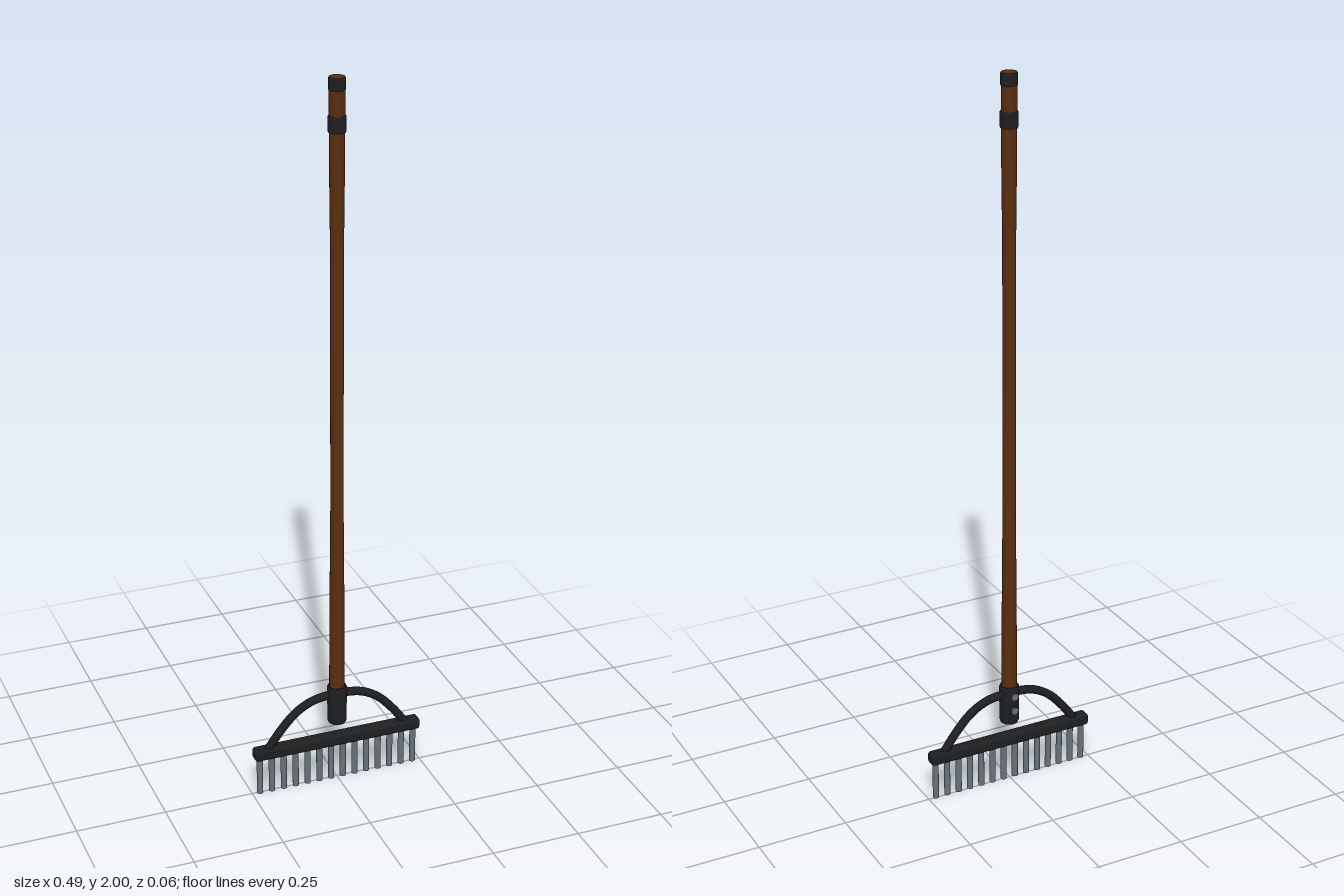
import * as THREE from 'three';
import { RoundedBoxGeometry } from 'three/addons/geometries/RoundedBoxGeometry.js';

export function createModel() {
  const group = new THREE.Group();
  const material = (name, color) => {
    const m = new THREE.MeshStandardMaterial({ color });
    m.name = name;
    return m;
  };
  const wood = material('brown wood', 0x5a2d0f);
  const iron = material('black iron', 0x1e1f21);
  const steel = material('grey steel', 0x66737c);

  const Z = 0.002; // shared depth of the shaft and head
  const add = (name, geometry, mat, x = 0, y = 0, z = Z) => {
    const mesh = new THREE.Mesh(geometry, mat);
    mesh.name = name;
    mesh.position.set(x, y, z);
    group.add(mesh);
    return mesh;
  };
  // Solid of revolution with crisp edges between straight segments
  const turned = (name, profile, mat) => {
    const part = new THREE.Group();
    part.name = name;
    part.position.z = Z;
    for (let i = 0; i < profile.length - 1; i++) {
      const pair = [profile[i], profile[i + 1]].map(([r, y]) => new THREE.Vector2(r, y));
      part.add(new THREE.Mesh(new THREE.LatheGeometry(pair, 32), mat));
    }
    group.add(part);
  };

  // Shaft, slightly slimmer along the middle
  turned('shaft', [[0, 0.2], [0.0215, 0.2], [0.0205, 0.5], [0.0175, 0.85],
    [0.0175, 1.55], [0.02, 1.8], [0.0205, 2], [0, 2]], wood);

  // Bands at the grip end
  const band = (name, y0, y1, r) => turned(name, [[0.018, y0], [r - 0.0015, y0],
    [r, y0 + 0.003], [r, y1 - 0.003], [r - 0.0015, y1], [0.018, y1]], iron);
  band('endBand', 1.966, 1.999, 0.0222);
  band('gripBand', 1.86, 1.903, 0.0232);

  // Socket holding the shaft
  turned('socket', [[0, 0.18], [0.024, 0.18], [0.0265, 0.186], [0.0265, 0.235],
    [0.0275, 0.24], [0.0275, 0.288], [0.025, 0.293], [0.018, 0.293]], iron);

  // Bolts on the back of the socket
  for (const y of [0.226, 0.27]) {
    const shank = add('bolt', new THREE.CylinderGeometry(0.008, 0.008, 0.014, 16), steel, 0, y, -0.026);
    const head = add('boltHead', new THREE.CylinderGeometry(0.011, 0.011, 0.003, 16), steel, 0, y, -0.0325);
    shank.rotation.x = head.rotation.x = Math.PI / 2;
  }

  // Curved brace from the socket to the rail
  const half = [[0.205, 0.13], [0.165, 0.185], [0.12, 0.232], [0.07, 0.259]];
  const bow = [...half.map(([x, y]) => [-x, y]), [0, 0.267], ...half.reverse()];
  const path = new THREE.CatmullRomCurve3(bow.map(([x, y]) => new THREE.Vector3(x, y, 0)));
  add('brace', new THREE.TubeGeometry(path, 48, 0.0118, 12), iron);

  // Head rail
  add('rail', new RoundedBoxGeometry(0.488, 0.034, 0.036, 4, 0.009), iron, 0, 0.125);

  // Row of tines
  const tine = new THREE.CylinderGeometry(0.0085, 0.0085, 0.115, 16);
  for (let i = 0; i < 14; i++) {
    add('tine', tine, steel, -0.2275 + i * 0.035, 0.0575);
  }
  return group;
}
